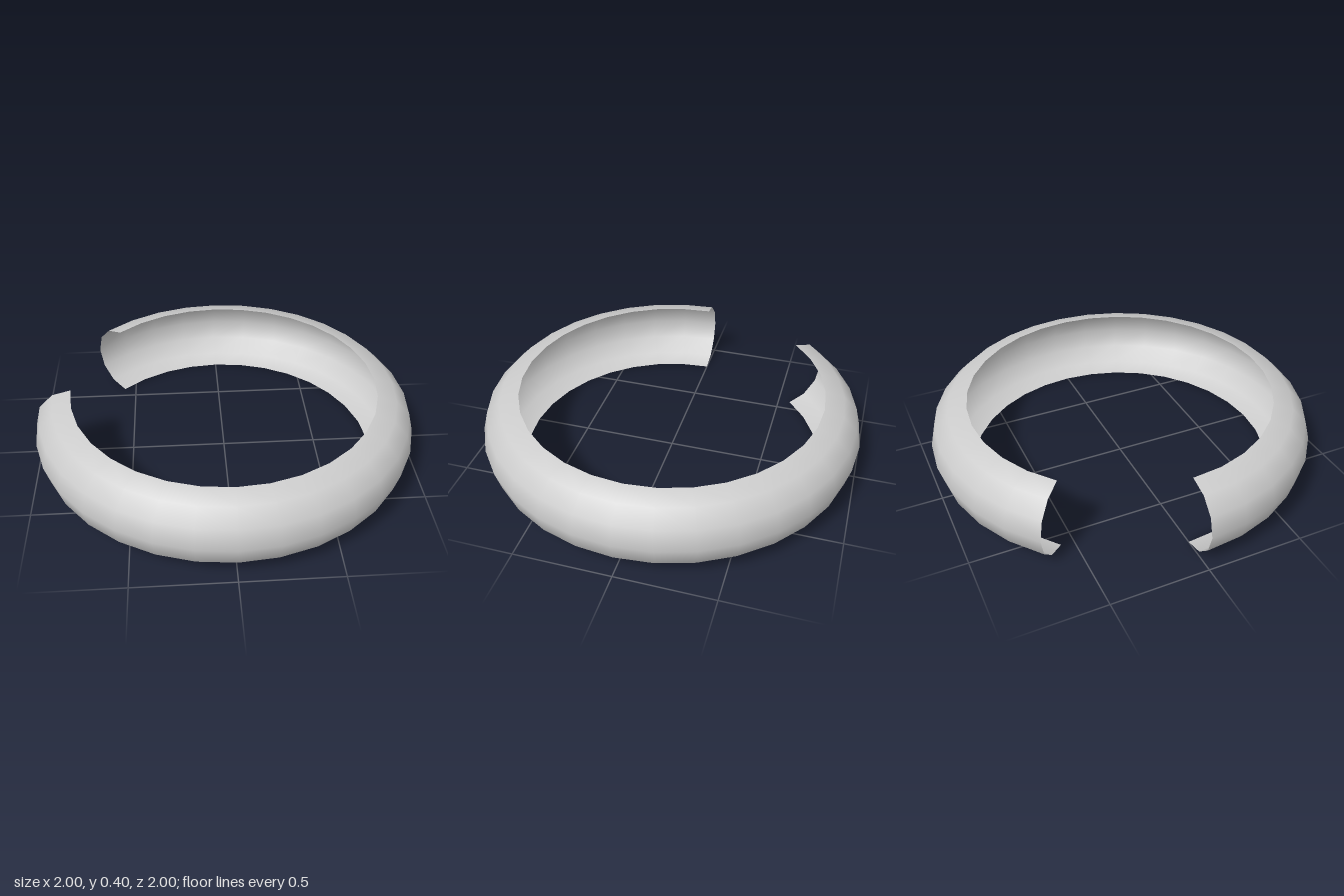
import * as THREE from 'three';

export function createModel() {
  const group = new THREE.Group();
  const ringRadius = 0.8, tubeRadius = 0.2, steps = 6;

  // Half-round profile, bulging outwards, from the bottom rim to the top rim
  const profile = [];
  for (let i = 0; i <= steps; i++) {
    const a = -Math.PI / 2 + (Math.PI * i) / steps;
    profile.push(new THREE.Vector2(
      ringRadius + tubeRadius * Math.cos(a),
      tubeRadius + tubeRadius * Math.sin(a)
    ));
  }

  // Seven eighths of a turn, leaving the gap at the back on the -x side
  const geometry = new THREE.LatheGeometry(profile, 28, -Math.PI / 2, Math.PI * 1.75);
  const material = new THREE.MeshStandardMaterial({ color: 0xcccccc, side: THREE.DoubleSide });
  const ring = new THREE.Mesh(geometry, material);
  ring.name = 'openHalfTubeRing';
  group.add(ring);

  return group;
}
